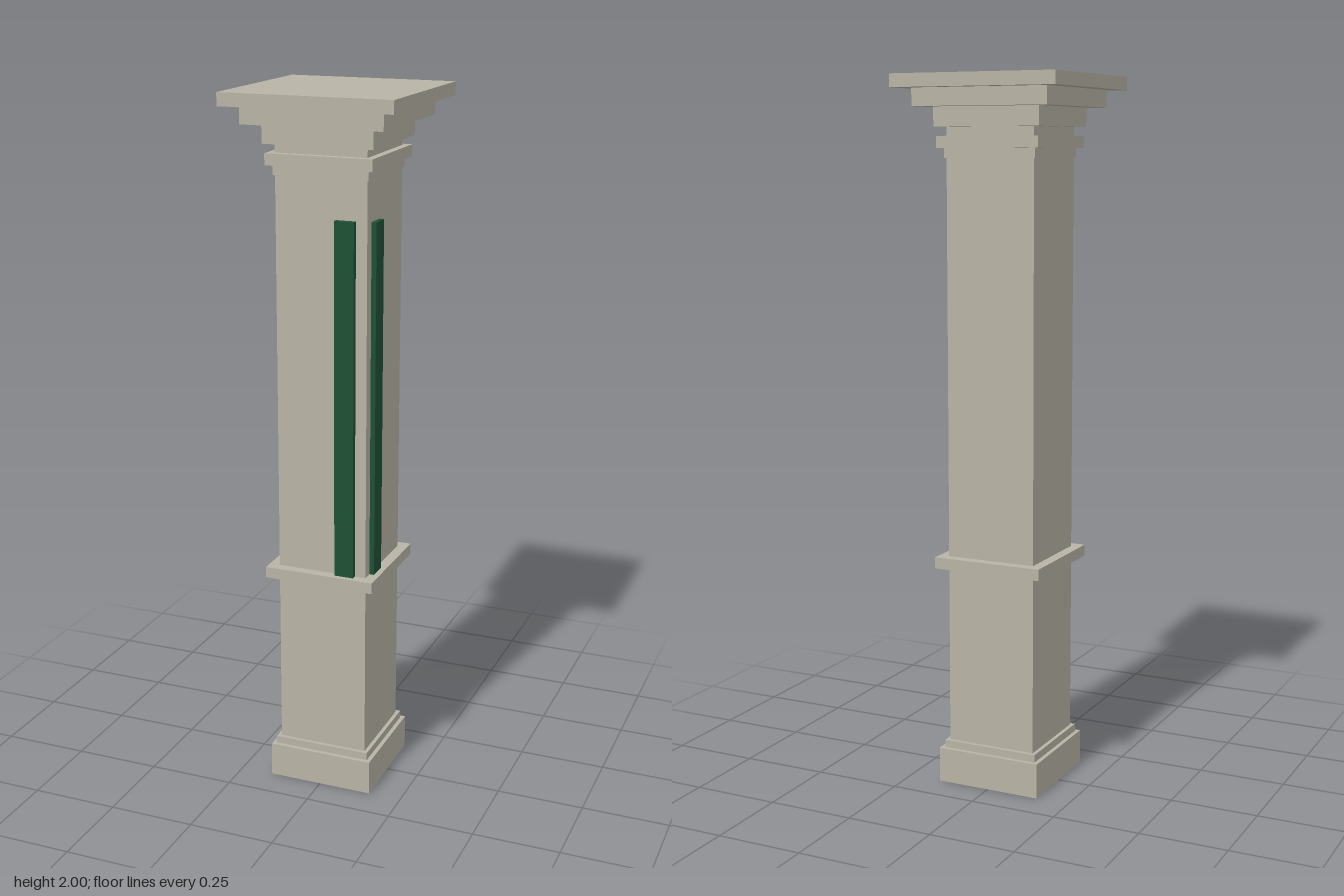
import * as THREE from 'three';

export function createModel() {
  const model = new THREE.Group();
  model.name = 'squareColumn';

  const stone = new THREE.MeshStandardMaterial({ color: 0xb8b3a5 });
  stone.name = 'warm stone';
  const green = new THREE.MeshStandardMaterial({ color: 0x1f5135 });
  green.name = 'dark green';

  const box = (name, material, [x0, x1], [y0, y1], [z0, z1]) => {
    const mesh = new THREE.Mesh(new THREE.BoxGeometry(x1 - x0, y1 - y0, z1 - z0), material);
    mesh.position.set((x0 + x1) / 2, (y0 + y1) / 2, (z0 + z1) / 2);
    mesh.name = name;
    model.add(mesh);
  };

  // Square courses stacked from floor to cap: name, half width, bottom, top
  const courses = [
    ['plinth', 0.154, 0, 0.1],
    ['plinthMoulding', 0.142, 0.1, 0.122],
    ['lowerShaft', 0.131, 0.122, 0.634],
    ['beltCourse', 0.161, 0.634, 0.666],
    ['upperShaft', 0.131, 0.666, 1.778],
    ['lowerNeckBand', 0.136, 1.778, 1.805],
    ['neckMoulding', 0.152, 1.805, 1.837],
    ['neck', 0.131, 1.837, 1.862],
    ['lowerCapital', 0.157, 1.862, 1.915],
    ['middleCapital', 0.2, 1.915, 1.964],
    ['topSlab', 0.243, 1.964, 2],
  ];
  for (const [name, half, bottom, top] of courses) {
    box(name, stone, [-half, half], [bottom, top], [-half, half]);
  }

  // Upright green strips beside the front left corner, standing on the belt course
  box('frontStrip', green, [0.043, 0.099], [0.666, 1.67], [0.131, 0.146]);
  box('sideStrip', green, [0.131, 0.145], [0.666, 1.665], [0.044, 0.1]);

  return model;
}
